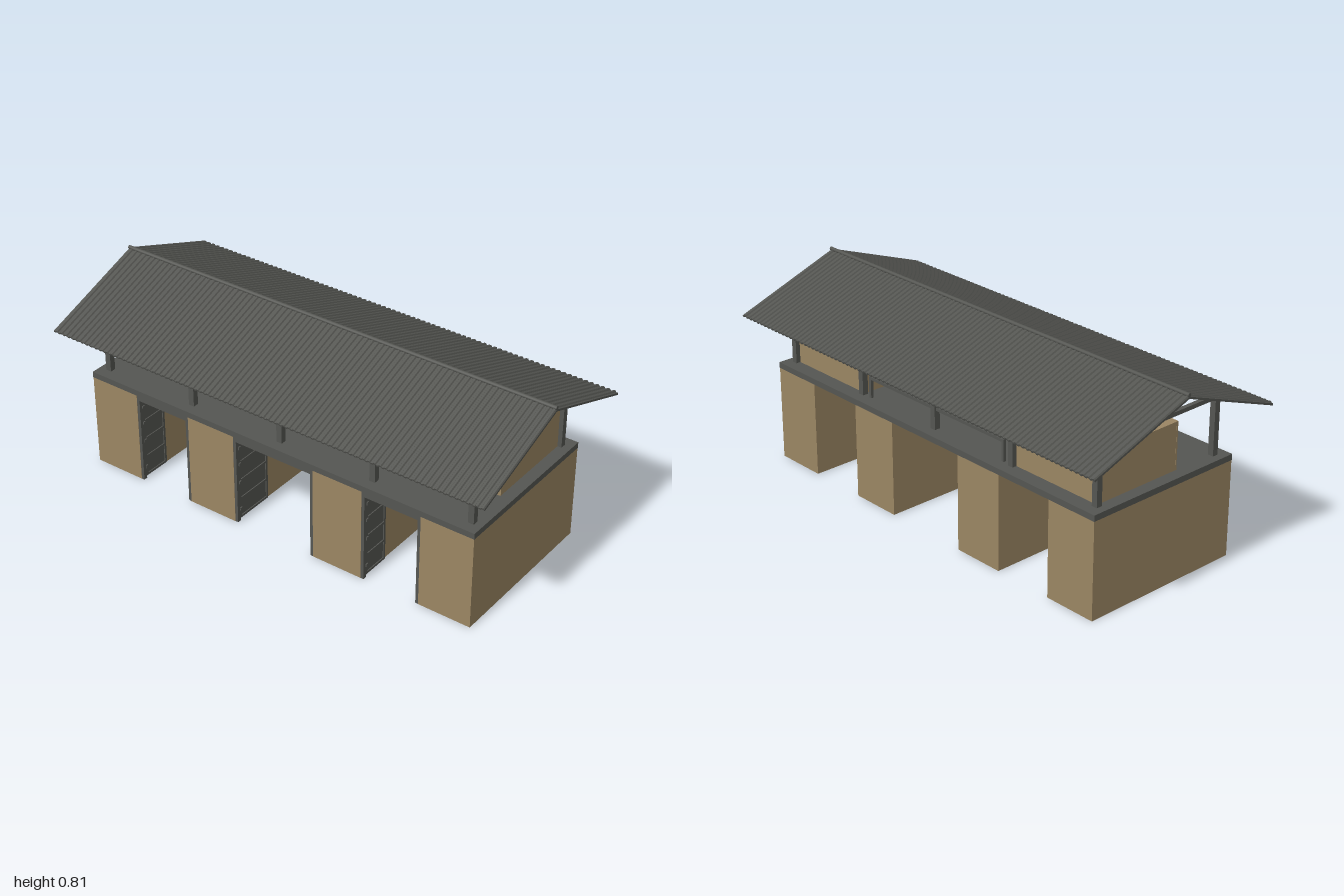
import * as THREE from 'three';

const wallMat = new THREE.MeshStandardMaterial({ color: 0x9b8663 });
wallMat.name = 'tan wall';
const steelMat = new THREE.MeshStandardMaterial({ color: 0x555652 });
steelMat.name = 'dark grey steel';

const PITCH = THREE.MathUtils.degToRad(20);

// Box given by its minimum and maximum on each axis
function box(parent, name, mat, [x0, x1], [y0, y1], [z0, z1]) {
  const mesh = new THREE.Mesh(new THREE.BoxGeometry(Math.abs(x1 - x0), y1 - y0, z1 - z0), mat);
  mesh.position.set((x0 + x1) / 2, (y0 + y1) / 2, (z0 + z1) / 2);
  mesh.name = name;
  parent.add(mesh);
  return mesh;
}

// Door outline with rounded top corners, as a thin plate
function roomDoor(parent, x) {
  const w = 0.048, h = 0.165, r = 0.015;
  const s = new THREE.Shape();
  s.moveTo(-w, 0);
  s.lineTo(w, 0);
  s.lineTo(w, h - r);
  s.quadraticCurveTo(w, h, w - r, h);
  s.lineTo(-w + r, h);
  s.quadraticCurveTo(-w, h, -w, h - r);
  const door = new THREE.Mesh(
    new THREE.ExtrudeGeometry(s, { depth: 0.003, bevelEnabled: false, curveSegments: 4 }), wallMat);
  door.position.set(x, 0.425, 0.11);
  door.name = 'roomDoor';
  parent.add(door);
}

// Open gate leaf folded back against the wall at x; dir points into the passage
function gate(parent, x, dir, width) {
  const g = new THREE.Group();
  g.name = 'gate';
  const zF = 0.34, zB = zF - width;
  const at = (a, b) => [x + dir * a, x + dir * b].sort((p, q) => p - q);
  box(g, 'gatePost', steelMat, at(0, 0.013), [0, 0.38], [zF, 0.357]);
  box(g, 'gatePanel', steelMat, at(0.003, 0.008), [0.012, 0.36], [zB, zF]);
  for (const z of [zB, zF - 0.01]) {
    box(g, 'gateStile', steelMat, at(0.001, 0.012), [0.01, 0.362], [z, z + 0.01]);
  }
  for (const y of [0.01, 0.095, 0.18, 0.265, 0.352]) {
    box(g, 'gateRail', steelMat, at(0.001, 0.012), [y, y + 0.01], [zB, zF]);
  }
  for (const y of [0.05, 0.175, 0.26, 0.335]) {
    box(g, 'gateHinge', steelMat, at(0.012, 0.017), [y, y + 0.012], [zF - 0.008, zF + 0.004]);
  }
  parent.add(g);
}

// Corrugated sheet for one roof slope, ridge at its local origin
function roofSlope() {
  const ribs = 84, p = 2 / ribs, t = 0.008, d = 0.005;
  const top = [];
  for (let i = 0; i < ribs; i++) {
    const x = -1 + i * p;
    top.push([x, -d], [x + 0.35 * p, -d], [x + 0.5 * p, 0], [x + 0.85 * p, 0]);
  }
  top.push([1, -d]);
  const bottom = top.map(([x, y]) => [x, y - t]).reverse();
  const shape = new THREE.Shape([...top, ...bottom].map(([x, y]) => new THREE.Vector2(x, y)));
  const geo = new THREE.ExtrudeGeometry(shape, { depth: 0.462 / Math.cos(PITCH), bevelEnabled: false });
  geo.rotateX(PITCH);
  geo.translate(0, 0.803, 0);
  return geo;
}

export function createModel() {
  const model = new THREE.Group();
  model.name = 'raisedShelter';

  // Ground floor blocks and deck
  for (const s of [-1, 1]) {
    for (const [a, b] of [[0.19, 0.414], [0.676, 0.904]]) {
      box(model, 'groundBlock', wallMat, s < 0 ? [-b, -a] : [a, b], [0, 0.4], [-0.358, 0.358]);
    }
  }
  box(model, 'deckSlab', steelMat, [-0.905, 0.905], [0.4, 0.425], [-0.359, 0.359]);

  // Gates and lintels in the three passages
  for (const [a, b, w] of [[-0.676, -0.414, 0.125], [-0.19, 0.19, 0.175], [0.414, 0.676, 0.125]]) {
    gate(model, a, 1, w);
    gate(model, b, -1, w);
    box(model, 'gateLintel', steelMat, [a, b], [0.378, 0.4], [0.34, 0.357]);
  }

  // Upper rooms with doors
  for (const s of [-1, 1]) {
    const xs = s < 0 ? [-0.855, -0.43] : [0.43, 0.855];
    box(model, 'upperRoom', wallMat, xs, [0.425, 0.62], [-0.295, 0.103]);
    box(model, 'roomFrontWall', wallMat, [xs[0] - 0.001, xs[1] + 0.001], [0.425, 0.621], [0.103, 0.11]);
    roomDoor(model, s * 0.645);
  }

  // Posts, tie beams and rafters of the five frames
  const rafterLength = 0.31 / Math.cos(PITCH);
  for (let i = -2; i <= 2; i++) {
    const x = i * 0.43, xs = [x - 0.0125, x + 0.0125];
    const frame = new THREE.Group();
    frame.name = 'roofFrame';
    box(frame, 'tieBeam', steelMat, [x - 0.009, x + 0.009], [0.653, 0.67], [-0.29, 0.29]);
    for (const s of [-1, 1]) {
      box(frame, 'post', steelMat, xs, [0.425, 0.67], [s * 0.302 - 0.0125, s * 0.302 + 0.0125]);
      const rafter = new THREE.Mesh(new THREE.BoxGeometry(0.018, 0.018, rafterLength), steelMat);
      rafter.position.set(x, 0.725, s * 0.152);
      rafter.rotation.x = s * PITCH;
      rafter.name = 'rafter';
      frame.add(rafter);
    }
    model.add(frame);
  }
  for (const s of [-1, 1]) {
    box(model, 'wallPlate', steelMat, [-0.87, 0.87], [0.654, 0.669], [s * 0.302 - 0.008, s * 0.302 + 0.008]);
  }

  // Rear railing
  const rail = new THREE.Group();
  rail.name = 'railing';
  box(rail, 'handrail', steelMat, [-0.387, 0.387], [0.503, 0.515], [-0.308, -0.296]);
  for (const s of [-1, 1]) {
    box(rail, 'railPost', steelMat, [s * 0.381 - 0.006, s * 0.381 + 0.006], [0.425, 0.505], [-0.308, -0.296]);
  }
  model.add(rail);

  // Corrugated roof and ridge cap
  const slope = roofSlope();
  for (const turn of [0, Math.PI]) {
    const sheet = new THREE.Mesh(slope, steelMat);
    sheet.rotation.y = turn;
    sheet.name = 'roofSheet';
    model.add(sheet);
  }
  const cap = new THREE.Mesh(new THREE.CylinderGeometry(0.008, 0.008, 2, 10), steelMat);
  cap.rotation.z = Math.PI / 2;
  cap.position.y = 0.803;
  cap.name = 'ridgeCap';
  model.add(cap);

  return model;
}
